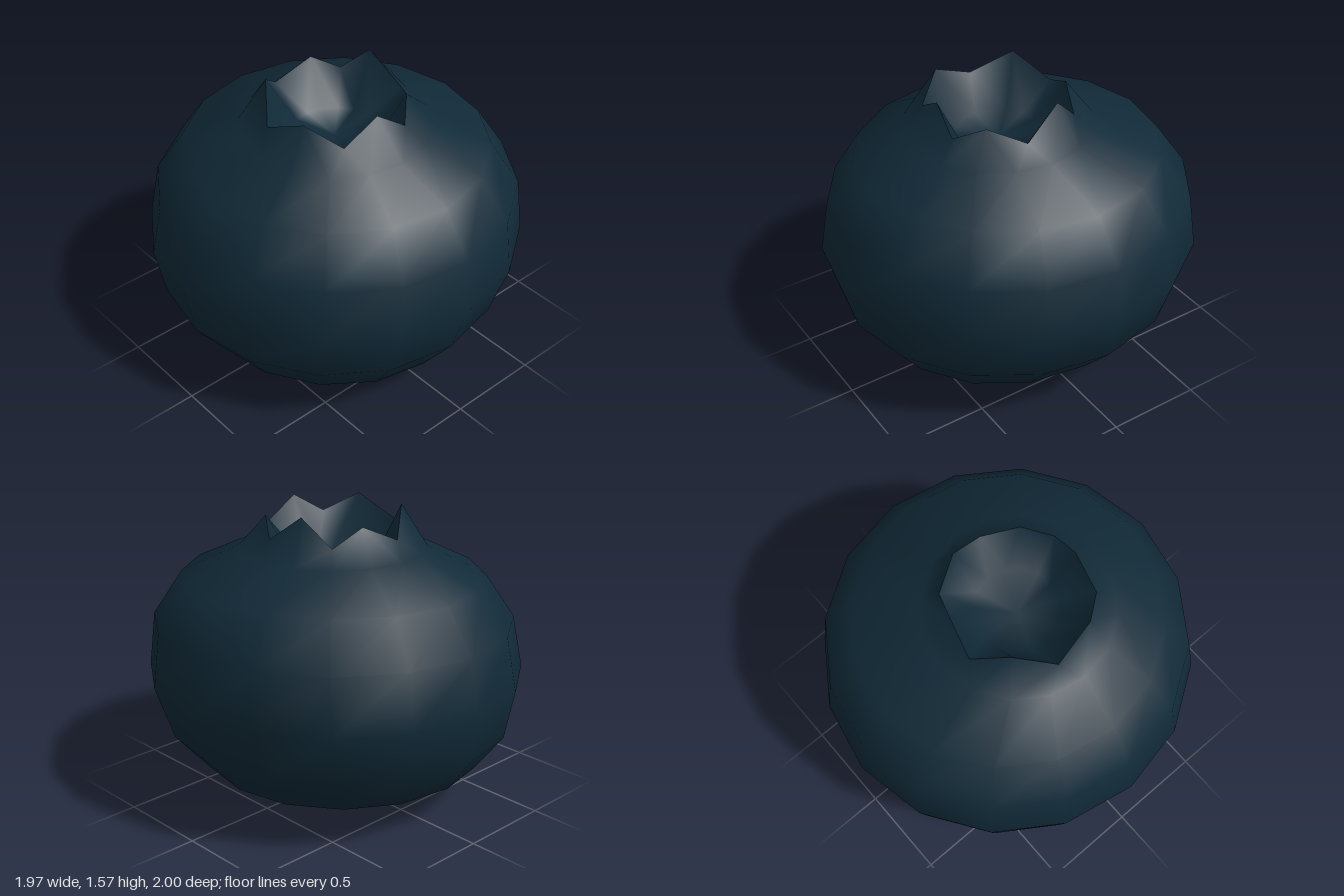
import * as THREE from 'three';

const berryBlue = new THREE.MeshStandardMaterial({ color: 0x112a38 });
berryBlue.name = 'berry blue';

const SIDES = 16;
const RIM_X = -0.03, RIM_Z = 0.04;

// Ellipse ring: radii, centre, height and a tilt along x and z
function ring(rx, rz, cx, cz, y, tiltX = 0, tiltZ = 0) {
  return Array.from({ length: SIDES }, (_, i) => {
    const a = (i / SIDES) * Math.PI * 2, c = Math.cos(a), s = Math.sin(a);
    return { a, p: [cx + rx * c, y + tiltX * c + tiltZ * s, cz + rz * s] };
  });
}

const pole = (x, y, z) => [{ a: 0, p: [x, y, z] }];

// Joins successive rings, which may have different vertex counts, into a skin
function skin(name, rings) {
  const positions = [], index = [], starts = [];
  for (const r of rings) {
    starts.push(positions.length / 3);
    for (const v of r) positions.push(...v.p);
  }
  const angle = (r, i) => r[i % r.length].a + Math.floor(i / r.length) * Math.PI * 2;
  for (let k = 0; k < rings.length - 1; k++) {
    const A = rings[k], B = rings[k + 1];
    const n = A.length > 1 ? A.length : 0, m = B.length > 1 ? B.length : 0;
    const va = i => starts[k] + (i % A.length), vb = j => starts[k + 1] + (j % B.length);
    let i = 0, j = 0;
    while (i < n || j < m) {
      if (j === m || (i < n && angle(A, i + 1) <= angle(B, j + 1))) {
        index.push(va(i), vb(j), va(i + 1));
        i++;
      } else {
        index.push(va(i), vb(j), vb(j + 1));
        j++;
      }
    }
  }
  const geometry = new THREE.BufferGeometry();
  geometry.setAttribute('position', new THREE.Float32BufferAttribute(positions, 3));
  geometry.setIndex(index);
  geometry.computeVertexNormals();
  const mesh = new THREE.Mesh(geometry, berryBlue);
  mesh.name = name;
  return mesh;
}

// Jagged crown rim: six tips with a notch after each one
function crownRim() {
  const tips = [
    [0.31, 1.56, -0.08], [0.23, 1.49, 0.28], [-0.06, 1.53, 0.38],
    [-0.37, 1.52, 0.2], [-0.27, 1.55, -0.21], [0.09, 1.51, -0.29],
  ];
  const angles = tips.map(([x, , z]) => Math.atan2(z - RIM_Z, x - RIM_X));
  for (let i = 1; i < 6; i++) while (angles[i] < angles[i - 1]) angles[i] += Math.PI * 2;
  return tips.flatMap((p, i) => {
    const next = i < 5 ? angles[i + 1] : angles[0] + Math.PI * 2;
    const a = (angles[i] + next) / 2;
    const notch = [RIM_X + 0.385 * Math.cos(a), 1.415, RIM_Z + 0.385 * Math.sin(a)];
    return [{ a: angles[i], p }, { a, p: notch }];
  });
}

export function createModel() {
  const group = new THREE.Group();
  group.name = 'berry';
  const rim = crownRim();

  // Plump body, slightly lopsided, rising into the outside of the crown
  group.add(skin('body', [
    pole(-0.08, 0.005, -0.05),
    ring(0.445, 0.44, -0.075, -0.03, 0.035, -0.01, -0.04),
    ring(0.735, 0.77, -0.045, -0.01, 0.19, -0.015, -0.015),
    ring(0.91, 0.93, -0.02, -0.01, 0.405, -0.005, -0.01),
    ring(0.985, 1.0, 0, 0, 0.68, 0.005, -0.01),
    ring(0.94, 0.955, 0.01, 0.005, 0.965, 0.015, -0.015),
    ring(0.785, 0.8, 0.005, 0.01, 1.195, 0.015, -0.01),
    ring(0.49, 0.495, -0.03, 0.045, 1.325, 0.005, -0.005),
    rim,
  ]));

  // Hollow inside the crown
  group.add(skin('crownHollow', [
    rim,
    ring(0.22, 0.22, RIM_X, RIM_Z, 1.27),
    pole(RIM_X, 1.24, RIM_Z),
  ]));
  return group;
}
